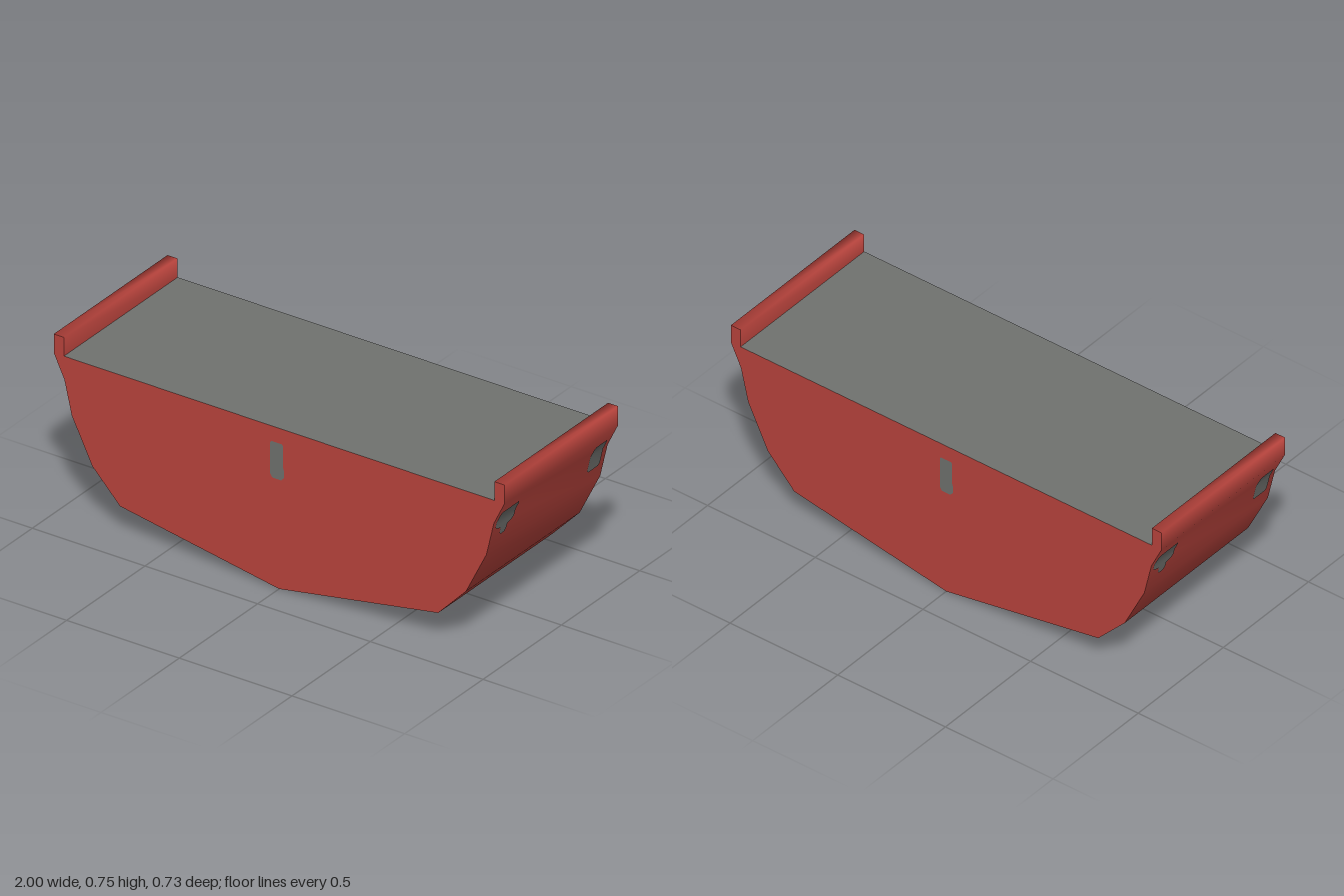
import * as THREE from 'three';

const DEPTH = 0.363, DECK_Y = 0.668, RAIL_X = 0.955;

// Right half of the hull section, from the keel up to the inside foot of the rail
const HALF = [[0, 0], [0.706, 0.122], [0.829, 0.25], [0.92, 0.432], [0.953, 0.572],
  [1, DECK_Y], [1, 0.746], [RAIL_X, 0.746], [RAIL_X, DECK_Y]];
const PROFILE = [...HALF.slice(1).reverse().map(([x, y]) => [-x, y]), ...HALF];

// Ribbon of quads through pairs of points, listed bottom-up with the left point first
function ribbon(pairs) {
  const index = [];
  for (let i = 0; i < pairs.length - 1; i++) {
    const a = 2 * i;
    index.push(a, a + 1, a + 2, a + 1, a + 3, a + 2);
  }
  const geo = new THREE.BufferGeometry();
  geo.setAttribute('position', new THREE.Float32BufferAttribute(pairs.flat(2), 3));
  geo.setIndex(index);
  geo.computeVertexNormals();
  return geo;
}

// Half-width of the hull side at a height between the bilge and the rail
function sideX(y) {
  for (let i = 1; i < 5; i++) {
    const [x0, y0] = HALF[i], [x1, y1] = HALF[i + 1];
    if (y <= y1) return x0 + (x1 - x0) * (y - y0) / (y1 - y0);
  }
  return 1;
}

export function createModel() {
  const model = new THREE.Group();
  const red = new THREE.MeshStandardMaterial({ color: 0xba443d });
  const grey = new THREE.MeshStandardMaterial({ color: 0x70726f });
  red.name = 'hull red';
  grey.name = 'deck grey';

  const add = (name, geo, mat, parent = model) => {
    const mesh = new THREE.Mesh(geo, mat);
    mesh.name = name;
    parent.add(mesh);
    return mesh;
  };

  // Smooth outer wall, including the rails
  add('hullWall', ribbon(PROFILE.map(([x, y]) => [[x, y, DEPTH], [x, y, -DEPTH]])), red);

  // Flat end walls
  const section = new THREE.Shape(PROFILE.map(([x, y]) => new THREE.Vector2(x, y)));
  add('frontWall', new THREE.ShapeGeometry(section), red).position.z = DEPTH;
  const back = add('backWall', new THREE.ShapeGeometry(section), red);
  back.position.z = -DEPTH;
  back.rotation.y = Math.PI;

  // Deck between the rails
  const deck = add('deck', new THREE.PlaneGeometry(2 * RAIL_X, 2 * DEPTH), grey);
  deck.rotation.x = -Math.PI / 2;
  deck.position.y = DECK_Y;

  // Painted patches as rows of [height, left edge, right edge]
  const endPatch = [[0.455, -0.028, 0.01], [0.468, -0.038, 0.022], [0.5, -0.038, 0.022],
    [0.515, -0.038, 0.018], [0.6, -0.038, 0.018], [0.606, -0.034, 0.014]];
  const teePatch = [[0.495, 0.3, 0.278], [0.505, 0.308, 0.268], [0.527, 0.31, 0.266],
    [0.535, 0.335, 0.242], [0.545, 0.348, 0.23], [0.572, 0.348, 0.23],
    [0.607, 0.348, 0.23], [0.616, 0.338, 0.238]];
  const squarePatch = [[0.498, -0.259, -0.321], [0.508, -0.249, -0.33], [0.572, -0.249, -0.33],
    [0.607, -0.249, -0.33], [0.616, -0.257, -0.322]];
  const onSide = rows => ribbon(rows.map(([y, a, b]) =>
    [[sideX(y) + 0.003, y, a], [sideX(y) + 0.003, y, b]]));
  const onEnd = rows => ribbon(rows.map(([y, a, b]) =>
    [[a, y, DEPTH + 0.002], [b, y, DEPTH + 0.002]]));

  // The same set repeats on the opposite side and end
  for (const turn of [0, 1]) {
    const patches = new THREE.Group();
    patches.name = turn ? 'backLeftPatches' : 'frontRightPatches';
    patches.rotation.y = turn * Math.PI;
    add('endPatch', onEnd(endPatch), grey, patches).position.x = turn * 0.01;
    add('teePatch', onSide(teePatch), grey, patches);
    add('squarePatch', onSide(squarePatch), grey, patches);
    model.add(patches);
  }
  return model;
}
